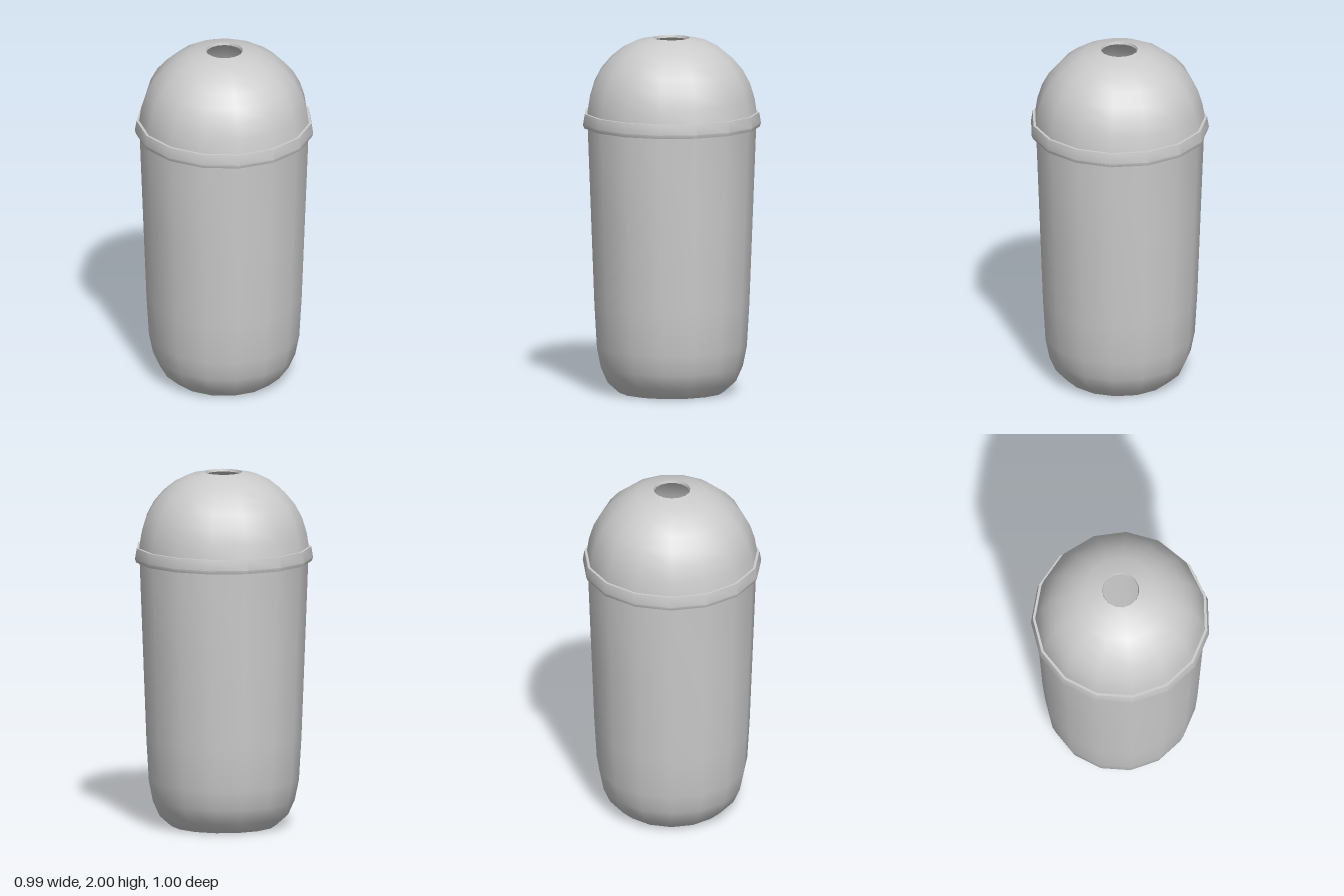
import * as THREE from 'three';
import { toCreasedNormals } from 'three/addons/utils/BufferGeometryUtils.js';

const SIDES = 15;
const material = new THREE.MeshStandardMaterial({ color: 0xcccccc, side: THREE.DoubleSide });

// Revolves a [radius, height] profile with one corner on +x
function revolve(name, profile) {
  const points = profile.map(([r, y]) => new THREE.Vector2(r, y));
  const lathe = new THREE.LatheGeometry(points, SIDES, Math.PI / 2);
  const mesh = new THREE.Mesh(toCreasedNormals(lathe, 0.55), material);
  mesh.name = name;
  return mesh;
}

// Inner wall: the outer profile walked backwards, moved inwards
const inset = (profile, dr, dy) => profile.map(([r, y]) => [r - dr, y + dy]).reverse();

export function createModel() {
  const group = new THREE.Group();
  group.name = 'lidded cup';

  // Cup: flat base, rounded foot, slightly flaring wall
  const wall = [
    [0.295, 0], [0.362, 0.06], [0.4, 0.145], [0.423, 0.26],
    [0.437, 0.5], [0.456, 1.0], [0.475, 1.5],
  ];
  group.add(revolve('cup', [[0, 0], ...wall, [0.455, 1.5], ...inset(wall.slice(0, -1), 0.02, 0.015), [0, 0.015]]));

  // Lid: rim band, then a dome with a round straw hole
  const band = [[0.475, 1.5], [0.495, 1.5], [0.502, 1.52], [0.492, 1.58], [0.482, 1.58]];
  const dome = [
    [0.478, 1.58], [0.466, 1.66], [0.44, 1.745], [0.4, 1.82],
    [0.345, 1.885], [0.277, 1.94], [0.198, 1.98], [0.104, 2.0],
  ];
  group.add(revolve('lid', [...band, ...dome, [0.1, 1.985], ...inset(dome.slice(0, -1), 0.015, -0.015), [0.46, 1.5]]));

  // Centre the odd-sided outline on x
  group.children.forEach((part) => { part.position.x = -0.0055; });
  return group;
}
